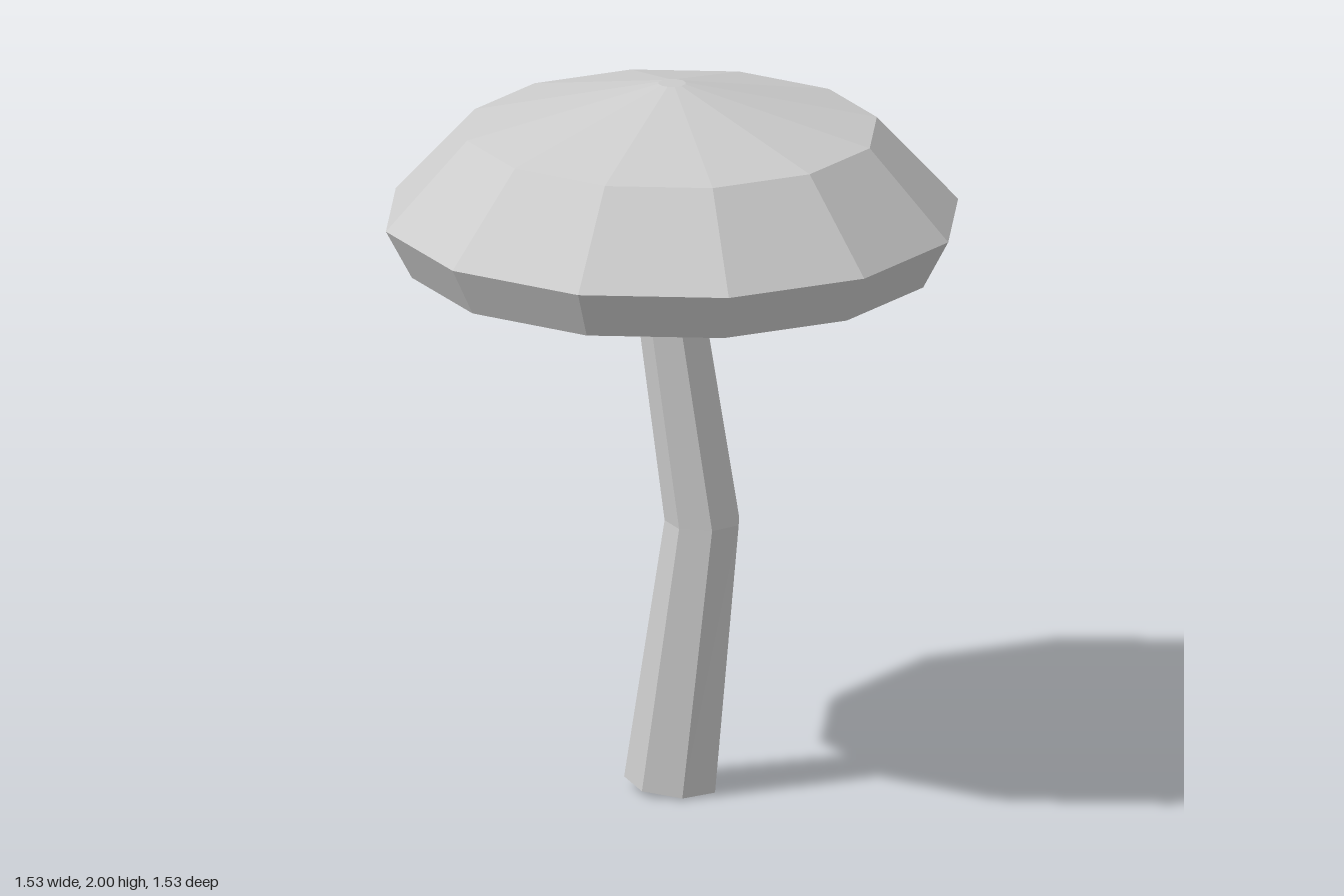
import * as THREE from 'three';

const grey = new THREE.MeshStandardMaterial({ color: 0xcccccc, flatShading: true });
grey.name = 'grey';

// Twelve-sided cap, turned from a closed profile of [radius, height]
function makeCap() {
  const profile = [[0, 1.49], [0.72, 1.49], [0.792, 1.625], [0.567, 1.87], [0.038, 2], [0, 2]]
    .map(([r, y]) => new THREE.Vector2(r, y));
  const cap = new THREE.Mesh(new THREE.LatheGeometry(profile, 12, Math.PI / 12), grey);
  cap.name = 'cap';
  return cap;
}

// Seven-sided bent stem: a unit cylinder with each ring moved and scaled
function makeStem() {
  const rings = [
    { x: 0, y: 0.02, z: 0, r: 0.13, tilt: -0.12 },
    { x: 0.094, y: 0.772, z: -0.014, r: 0.106, tilt: 0 },
    { x: 0.002, y: 1.52, z: 0.041, r: 0.093, tilt: 0 },
  ];
  const geometry = new THREE.CylinderGeometry(1, 1, 2, 7, 2, false, -0.09);
  const p = geometry.attributes.position;
  for (let i = 0; i < p.count; i++) {
    const ring = rings[Math.round(p.getY(i)) + 1];
    const dx = p.getX(i) * ring.r;
    p.setXYZ(i, ring.x + dx, ring.y + dx * ring.tilt, ring.z + p.getZ(i) * ring.r);
  }
  geometry.computeVertexNormals();
  const stem = new THREE.Mesh(geometry, grey);
  stem.name = 'stem';
  return stem;
}

export function createModel() {
  const mushroom = new THREE.Group();
  mushroom.name = 'mushroom';
  mushroom.add(makeCap(), makeStem());
  return mushroom;
}
